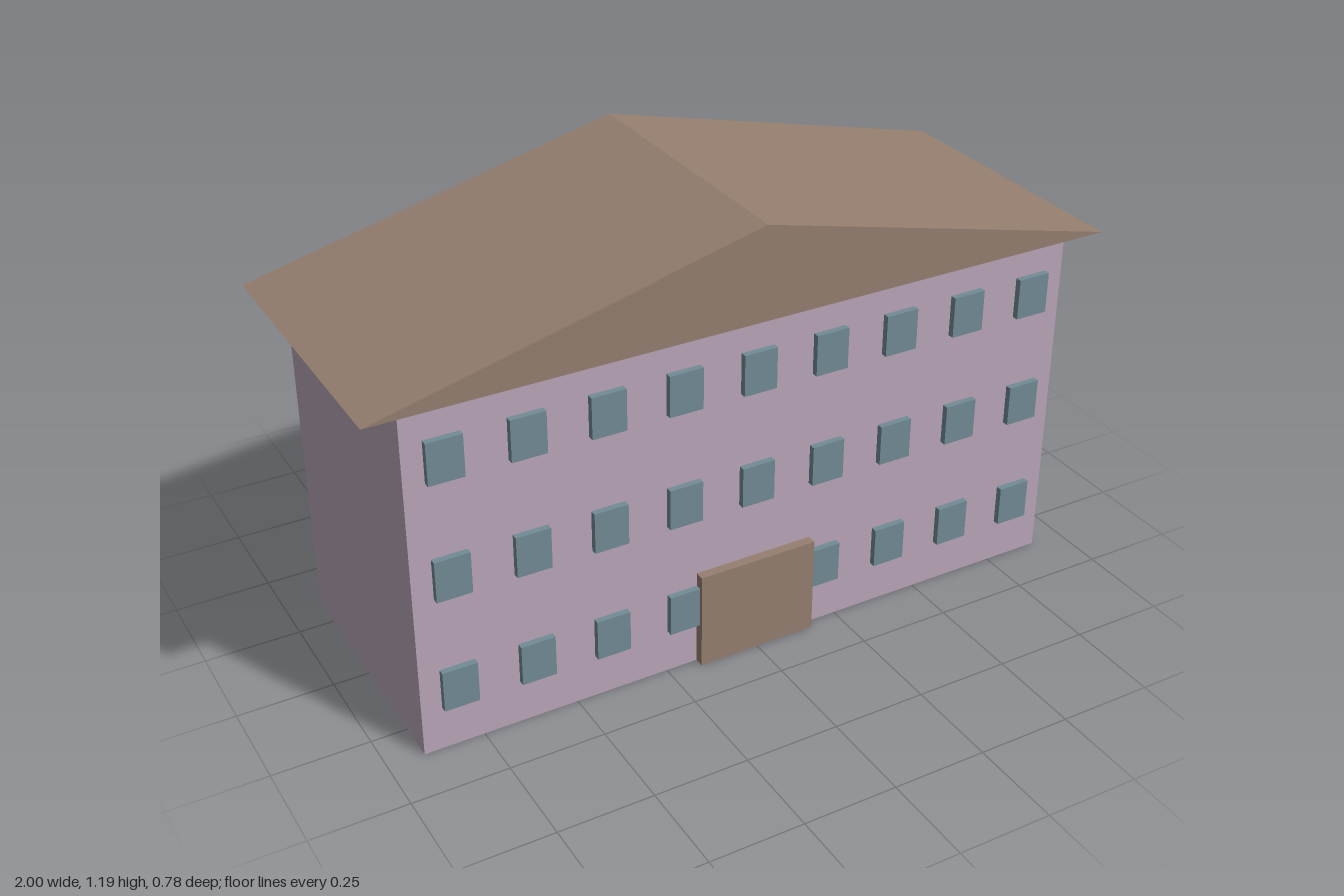
import * as THREE from 'three';

const mat = (name, color) => {
  const m = new THREE.MeshStandardMaterial({ color });
  m.name = name;
  return m;
};

export function createModel() {
  const group = new THREE.Group();
  group.name = 'building';
  const wall = mat('mauve wall', 0xbaa6b9);
  const brown = mat('brown roof and door', 0x957f70);
  const glass = mat('blue grey window', 0x718b95);

  const box = (name, material, w, h, d, x, y, z, parent = group) => {
    const mesh = new THREE.Mesh(new THREE.BoxGeometry(w, h, d), material);
    mesh.name = name;
    mesh.position.set(x, y, z);
    parent.add(mesh);
    return mesh;
  };

  // Main block
  box('walls', wall, 1.812, 0.94, 0.712, 0, 0.47, 0);

  // Solid gable roof with overhanging eaves
  const gable = new THREE.Shape();
  gable.moveTo(-1, 0.94);
  gable.lineTo(1, 0.94);
  gable.lineTo(0, 1.186);
  gable.closePath();
  const roofGeometry = new THREE.ExtrudeGeometry(gable, { depth: 0.78, bevelEnabled: false });
  roofGeometry.translate(0, 0, -0.39);
  const roof = new THREE.Mesh(roofGeometry, brown);
  roof.name = 'roof';
  group.add(roof);

  // Three rows of nine windows, front and back
  for (const side of [1, -1]) {
    const windows = new THREE.Group();
    windows.name = side > 0 ? 'frontWindows' : 'backWindows';
    group.add(windows);
    for (const y of [0.174, 0.485, 0.797]) {
      for (let i = -4; i <= 4; i++) {
        box('window', glass, 0.09, 0.11, 0.034, i * 0.202, y, side * 0.356, windows);
      }
    }
  }

  // Entrance slab
  box('door', brown, 0.328, 0.266, 0.05, 0, 0.133, 0.357);

  return group;
}
